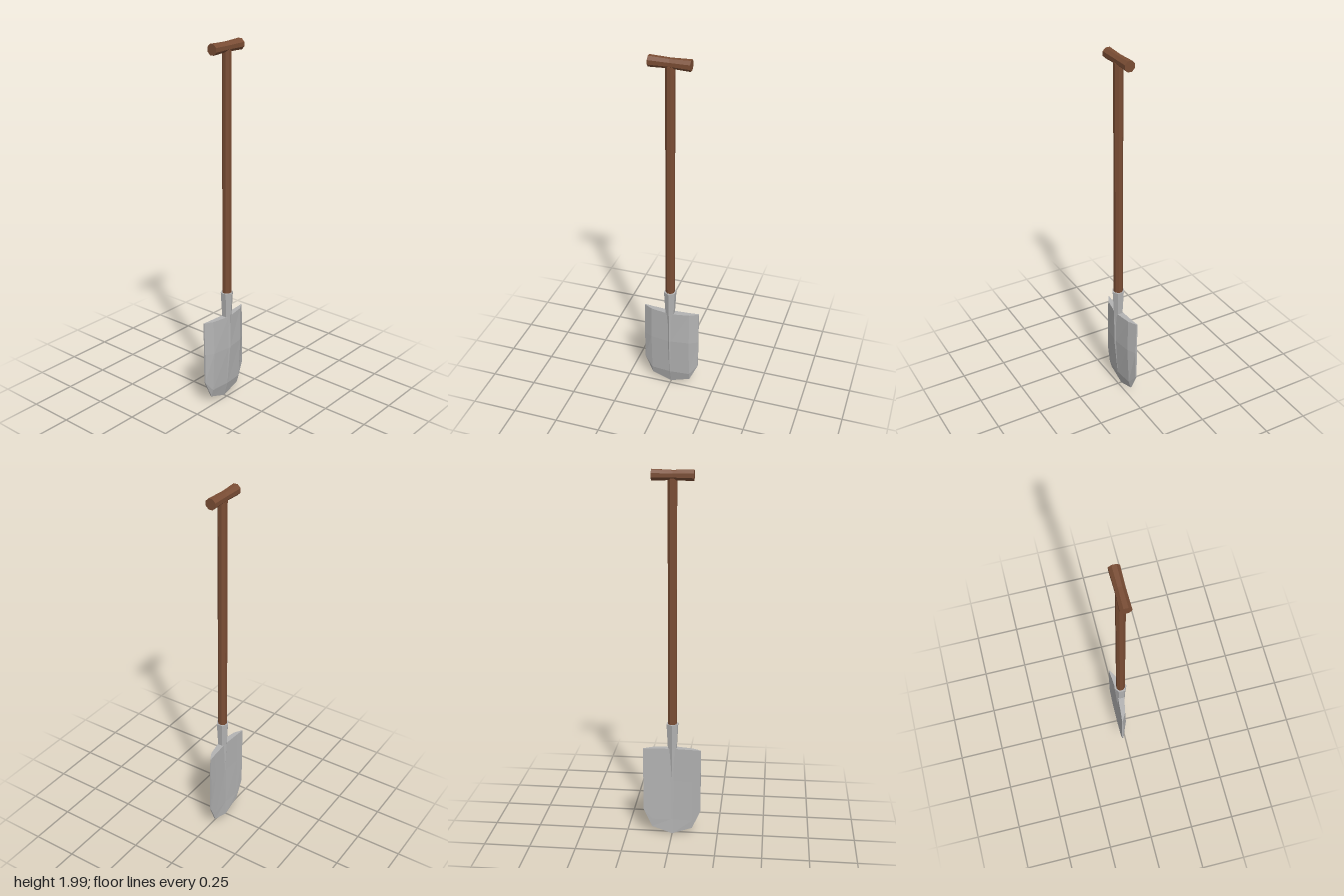
import * as THREE from 'three';

// Solid blade: a bowed front sheet and a nearly flat back, joined by a rim.
function bladeGeometry() {
  // half cross-section columns from the centre ridge outwards:
  // z, then y, front x and back x for the four rows from top to bottom
  const half = [
    { z: [0, 0, 0, 0], y: [0.51, 0.32, 0.09, 0.005], f: [0.026, 0.025, 0.004, -0.019], b: [-0.018, -0.018, -0.02, -0.023] },
    { z: [0.008, 0.008, 0.005, 0.005], y: [0.51, 0.32, 0.09, 0.007], f: [0.019, 0.019, 0.003, -0.019], b: [-0.018, -0.018, -0.02, -0.023] },
    { z: [0.11, 0.11, 0.11, 0.11], y: [0.51, 0.32, 0.09, 0.045], f: [0, 0.005, -0.006, -0.018], b: [-0.025, -0.025, -0.025, -0.024] },
    { z: [0.157, 0.157, 0.157, 0.157], y: [0.51, 0.32, 0.15, 0.15], f: [-0.025, -0.02, -0.021, -0.021], b: [-0.03, -0.03, -0.028, -0.028] },
  ];
  const mirrored = half.slice(1).reverse().map((c) => ({ ...c, z: c.z.map((v) => -v) }));
  const cols = [...mirrored, ...half];
  const last = cols.length - 1;
  const F = ([i, j]) => [cols[i].f[j], cols[i].y[j], cols[i].z[j]];
  const B = ([i, j]) => [cols[i].b[j], cols[i].y[j], cols[i].z[j]];
  const pos = [];
  const quad = (a, b, c, d) => pos.push(...a, ...b, ...c, ...a, ...c, ...d);

  // front and back sheets
  for (let i = 0; i < last; i++) {
    for (let j = 0; j < 3; j++) {
      const q = [[i, j], [i + 1, j], [i + 1, j + 1], [i, j + 1]];
      quad(...q.map(F));
      quad(...q.map(B).reverse());
    }
  }
  // rim around the outline
  const loop = [];
  for (let i = last; i > 0; i--) loop.push([i, 0]);
  for (let j = 0; j < 3; j++) loop.push([0, j]);
  for (let i = 0; i < last; i++) loop.push([i, 3]);
  for (let j = 3; j > 0; j--) loop.push([last, j]);
  loop.forEach((p, k) => {
    const q = loop[(k + 1) % loop.length];
    quad(F(p), F(q), B(q), B(p));
  });

  const geo = new THREE.BufferGeometry();
  geo.setAttribute('position', new THREE.Float32BufferAttribute(pos, 3));
  geo.computeVertexNormals();
  return geo;
}

export function createModel() {
  const model = new THREE.Group();
  model.name = 'spade';
  const wood = new THREE.MeshStandardMaterial({ name: 'brown wood', color: 0x7a4d34, flatShading: true });
  const steel = new THREE.MeshStandardMaterial({ name: 'grey steel', color: 0xb3b3b3, flatShading: true });

  const add = (name, geo, mat) => {
    const mesh = new THREE.Mesh(geo, mat);
    mesh.name = name;
    model.add(mesh);
    return mesh;
  };

  // blade
  add('blade', bladeGeometry(), steel);

  // socket with a pointed tail running down the back of the blade
  const profile = [[0, 0.285], [0.018, 0.32], [0.027, 0.51], [0.035, 0.65], [0, 0.65]];
  add('socket', new THREE.LatheGeometry(
    profile.map(([r, y]) => new THREE.Vector2(r, y)), 6, Math.PI / 2), steel);

  // shaft
  const shaft = add('shaft', new THREE.CylinderGeometry(0.025, 0.025, 1.34, 8), wood);
  shaft.position.y = 1.29;
  shaft.rotation.y = Math.PI / 8;

  // cross grip, slightly waisted in the middle
  const gripGeo = new THREE.CylinderGeometry(0.03, 0.03, 0.215, 8, 2);
  gripGeo.rotateY(Math.PI / 8);
  const p = gripGeo.attributes.position;
  for (let i = 0; i < p.count; i++) {
    if (Math.abs(p.getY(i)) < 0.01) p.setXYZ(i, p.getX(i) * 0.9, p.getY(i), p.getZ(i) * 0.86);
  }
  gripGeo.rotateX(Math.PI / 2);
  const grip = add('grip', gripGeo, wood);
  grip.position.set(-0.003, 1.972, 0.002);

  return model;
}
